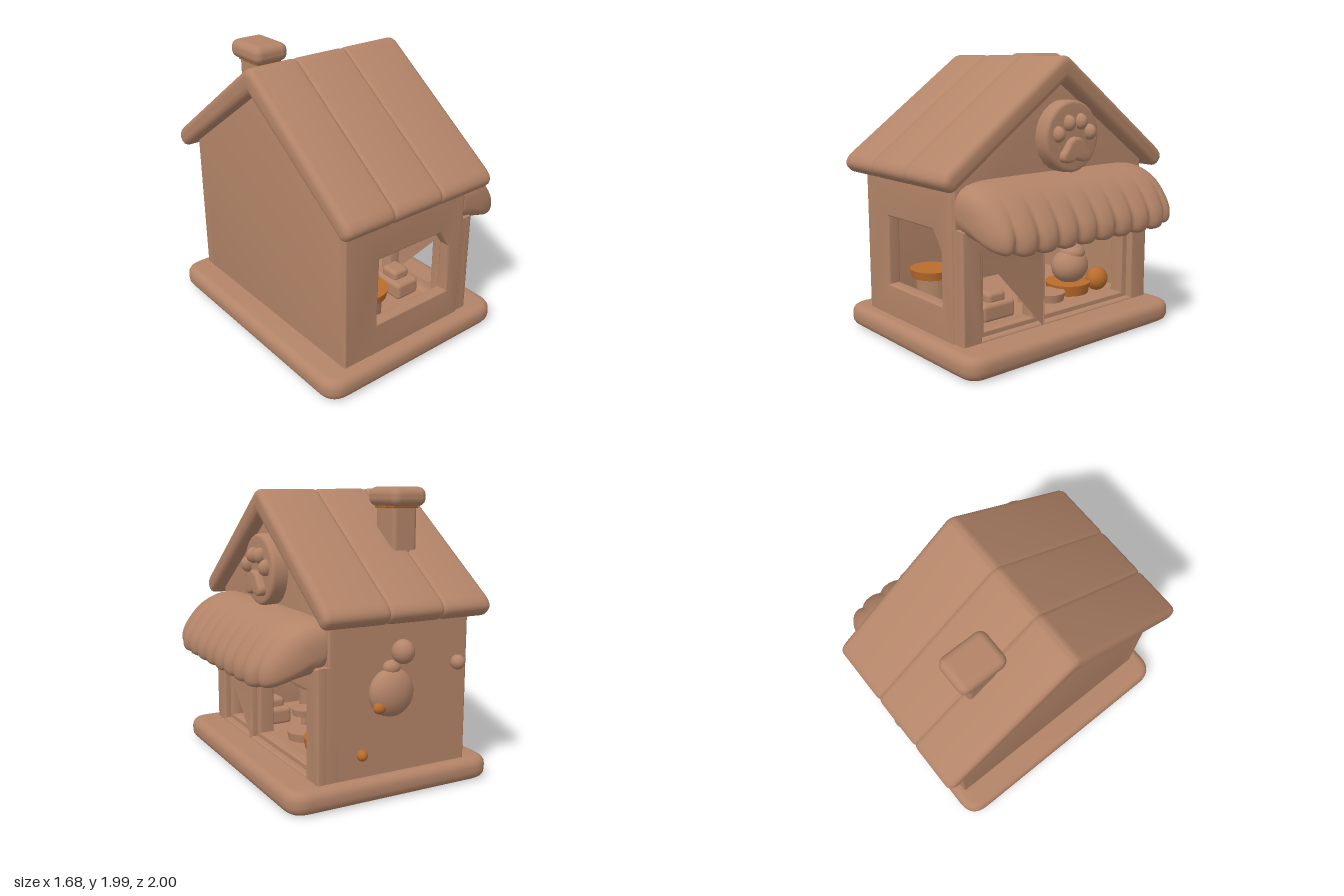
import * as THREE from 'three';
import { toCreasedNormals, mergeVertices } from 'three/addons/utils/BufferGeometryUtils.js';
import { RoundedBoxGeometry } from 'three/addons/geometries/RoundedBoxGeometry.js';

const clay = new THREE.MeshStandardMaterial({ color: 0xb38468 });
clay.name = 'clay brown';
const orange = new THREE.MeshStandardMaterial({ color: 0xb96c2c });
orange.name = 'burnt orange';

export function createModel() {
  const house = new THREE.Group();
  house.name = 'toyShop';

  const add = (name, geo, x = 0, y = 0, z = 0, mat = clay, parent = house) => {
    const m = new THREE.Mesh(geo, mat);
    m.name = name;
    m.position.set(x, y, z);
    parent.add(m);
    return m;
  };
  const box = (name, x0, x1, y0, y1, z0, z1, r = 0.03, mat = clay) =>
    add(name, new RoundedBoxGeometry(x1 - x0, y1 - y0, z1 - z0, 3, r),
      (x0 + x1) / 2, (y0 + y1) / 2, (z0 + z1) / 2, mat);
  const blob = (name, x, y, z, rx, ry, rz, mat = clay) => {
    const m = add(name, new THREE.SphereGeometry(1, 24, 16), x, y, z, mat);
    m.scale.set(rx, ry, rz);
    return m;
  };
  const disc = (name, x, y, z, r, h, mat = clay) =>
    add(name, new THREE.CylinderGeometry(r, r * 0.92, h, 32), x, y, z, mat);
  const poly = (pts) => new THREE.Shape(pts.map(([a, b]) => new THREE.Vector2(a, b)));
  const rect = (a0, a1, b0, b1) => poly([[a0, b0], [a1, b0], [a1, b1], [a0, b1]]);
  // Bevelled plate that keeps the outline and total depth exact
  const plate = (shape, depth, bevel) => toCreasedNormals(new THREE.ExtrudeGeometry(shape, {
    depth: depth - 2 * bevel, bevelEnabled: bevel > 0, bevelSize: bevel, bevelOffset: -bevel,
    bevelThickness: bevel, bevelSegments: 4, curveSegments: 12,
  }).translate(0, 0, bevel), 0.6);
  // Plate whose outline is given as (-z, y) and which runs along x
  const sidePlate = (name, shape, x0, x1, bevel) =>
    add(name, plate(shape, x1 - x0, bevel).rotateY(Math.PI / 2), x0);

  // Base slab with rounded corners
  const foot = new THREE.Shape();
  const [fx0, fx1, fz0, fz1, fr] = [-0.84, 0.7, -0.97, 0.94, 0.15];
  foot.moveTo(fx0 + fr, fz0).lineTo(fx1 - fr, fz0);
  foot.quadraticCurveTo(fx1, fz0, fx1, fz0 + fr).lineTo(fx1, fz1 - fr);
  foot.quadraticCurveTo(fx1, fz1, fx1 - fr, fz1).lineTo(fx0 + fr, fz1);
  foot.quadraticCurveTo(fx0, fz1, fx0, fz1 - fr).lineTo(fx0, fz0 + fr);
  foot.quadraticCurveTo(fx0, fz0, fx0 + fr, fz0);
  add('baseSlab', plate(foot, 0.155, 0.06).rotateX(-Math.PI / 2));
  box('floor', -0.6, 0.4, 0.12, 0.2, -0.82, 0.82, 0.02);

  // Front wall with a window whose top corner is cut
  const frontWall = rect(-0.65, 0.38, 0.13, 1.22);
  frontWall.holes.push(poly([[-0.38, 0.38], [-0.37, 0.87], [0.17, 0.87], [0.26, 0.74], [0.26, 0.38]]));
  add('frontWall', plate(frontWall, 0.09, 0.012), 0, 0, 0.78);
  box('backWall', -0.65, 0.38, 0.13, 1.22, -0.86, -0.77, 0.015);

  // Gable end walls
  sidePlate('plainGableWall', poly([[-0.86, 0.13], [0.86, 0.13], [0.86, 1.23], [0, 1.84], [-0.86, 1.23]]),
    -0.65, -0.56, 0.012);
  sidePlate('shopGable', poly([[-0.86, 0.78], [0.86, 0.78], [0.86, 1.23], [0, 1.84], [-0.86, 1.23]]),
    0.3, 0.4, 0.012);

  // Shop front: inner window layer and stepped outer frame
  const windows = [[-0.66, -0.24], [-0.13, 0.65]];
  const inner = rect(-0.86, 0.86, 0.13, 0.9);
  const outer = rect(-0.86, 0.86, 0.13, 0.9);
  for (const [a, b] of windows) {
    inner.holes.push(rect(a, b, 0.205, 0.7));
    outer.holes.push(rect(a - 0.05, b + 0.05, 0.17, 0.735));
  }
  sidePlate('shopWindowFrame', inner, 0.32, 0.43, 0.01);
  sidePlate('shopFrontFrame', outer, 0.4, 0.48, 0.015);

  // Roof: three rounded chevron boards side by side
  const chevron = new THREE.Shape();
  chevron.moveTo(0.05, 1.95).lineTo(0.96, 1.285);
  chevron.quadraticCurveTo(1.03, 1.22, 0.97, 1.17);
  chevron.quadraticCurveTo(0.93, 1.13, 0.88, 1.18);
  chevron.lineTo(0, 1.8).lineTo(-0.88, 1.18);
  chevron.quadraticCurveTo(-0.93, 1.13, -0.97, 1.17);
  chevron.quadraticCurveTo(-1.03, 1.22, -0.96, 1.285);
  chevron.lineTo(-0.05, 1.95);
  chevron.quadraticCurveTo(0, 1.985, 0.05, 1.95);
  [[-0.74, -0.345], [-0.375, 0.055], [0.025, 0.5]].forEach(([a, b]) =>
    sidePlate('roofBoard', chevron, a, b, 0.045));

  // Chimney
  box('chimneyShaft', -0.43, -0.24, 1.35, 1.88, -0.575, -0.345, 0.03);
  box('chimneyTrim', -0.435, -0.235, 1.845, 1.865, -0.58, -0.34, 0.008, orange);
  box('chimneyCap', -0.47, -0.2, 1.855, 1.985, -0.64, -0.29, 0.055);

  // Scalloped awning: one closed profile swept along z, bulging at every lobe
  const profile = new THREE.CatmullRomCurve3([
    [0.36, 1.18], [0.48, 1.19], [0.65, 1.12], [0.77, 1.0], [0.835, 0.88], [0.83, 0.79],
    [0.78, 0.765], [0.62, 0.8], [0.44, 0.84], [0.36, 0.9],
  ].map(([x, y]) => new THREE.Vector3(x, y, 0)), true).getPoints(40);
  const rings = 160, sides = 40, pos = [], idx = [];
  for (let i = 0; i <= rings; i++) {
    const u = Math.sin((i / rings - 0.5) * Math.PI);
    const lobe = Math.abs(Math.sin((u + 1) * 5 * Math.PI));
    const end = Math.pow(Math.max(0, 1 - Math.pow(Math.abs(u), 10)), 0.35);
    for (let j = 0; j < sides; j++) {
      const p = profile[j];
      const low = THREE.MathUtils.clamp((1.15 - p.y) / 0.35, 0, 1);
      const s = end * (1 - 0.11 * low * Math.pow(1 - lobe, 1.5));
      pos.push(0.42 + (p.x - 0.42) * s, 1.0 + (p.y - 1.0) * s, 0.01 + u * 0.85);
    }
  }
  for (let i = 0; i < rings; i++) for (let j = 0; j < sides; j++) {
    const a = i * sides + j, b = i * sides + (j + 1) % sides;
    idx.push(a, b, a + sides, b, b + sides, a + sides);
  }
  const awning = new THREE.BufferGeometry();
  awning.setAttribute('position', new THREE.Float32BufferAttribute(pos, 3));
  awning.setIndex(idx);
  const sweep = mergeVertices(awning);
  // Profile runs clockwise, so the winding is turned to face outward
  const order = sweep.index.array;
  for (let k = 0; k < order.length; k += 3) [order[k + 1], order[k + 2]] = [order[k + 2], order[k + 1]];
  sweep.computeVertexNormals();
  const out = sweep.attributes.normal, mid = Math.floor(rings / 2) * sides + 8;
  if (out.getX(mid) < 0) {
    for (let k = 0; k < order.length; k += 3) [order[k + 1], order[k + 2]] = [order[k + 2], order[k + 1]];
    sweep.computeVertexNormals();
  }
  add('awning', sweep);

  // Round paw sign on the gable
  const circle = new THREE.Shape().absarc(0.05, 1.43, 0.245, 0, Math.PI * 2);
  sidePlate('signDisc', circle, 0.36, 0.51, 0.025);
  const pad = new THREE.Shape();
  pad.moveTo(0.05, 1.43);
  pad.bezierCurveTo(0.12, 1.43, 0.13, 1.36, 0.17, 1.33);
  pad.bezierCurveTo(0.21, 1.26, 0.12, 1.24, 0.05, 1.28);
  pad.bezierCurveTo(-0.02, 1.24, -0.11, 1.26, -0.07, 1.33);
  pad.bezierCurveTo(-0.03, 1.36, -0.02, 1.43, 0.05, 1.43);
  sidePlate('pawPad', pad, 0.48, 0.56, 0.02);
  [[0.095, 1.455], [0, 1.525], [-0.11, 1.53], [-0.195, 1.455]].forEach(([z, y]) =>
    blob('pawToe', 0.515, y, z, 0.055, 0.055, 0.042));

  // Ornaments on the back wall
  blob('pouch', -0.04, 0.7, -0.88, 0.16, 0.16, 0.095);
  blob('pouchKnot', -0.04, 0.86, -0.88, 0.06, 0.05, 0.05);
  blob('pouchBall', -0.1, 0.965, -0.92, 0.075, 0.08, 0.075);
  blob('pouchSpot', 0.07, 0.62, -0.92, 0.045, 0.04, 0.035, orange);
  blob('wallKnob', -0.56, 0.84, -0.885, 0.05, 0.05, 0.05);
  blob('orangeKnob', 0.17, 0.31, -0.88, 0.036, 0.036, 0.036, orange);

  // Table by the front window
  disc('tableLeg', -0.25, 0.31, 0.58, 0.13, 0.24);
  const top = disc('tableTop', -0.25, 0.45, 0.6, 0.16, 0.06, orange);
  top.scale.z = 0.95;

  // Boxes and dishes behind the shop windows
  box('lowBox', 0.1, 0.3, 0.19, 0.32, 0.28, 0.56, 0.03);
  box('smallBox', 0.13, 0.27, 0.3, 0.385, 0.34, 0.49, 0.03);
  disc('standLeg', 0.1, 0.26, 0.06, 0.03, 0.14);
  disc('standTop', 0.1, 0.345, 0.06, 0.1, 0.05);
  disc('dish', 0.2, 0.235, -0.12, 0.12, 0.06);

  // Seated round animal in a bowl, with a cushion beside it
  disc('bowl', 0.14, 0.245, -0.37, 0.17, 0.08, orange);
  blob('animalBody', 0.14, 0.4, -0.39, 0.13, 0.13, 0.15);
  blob('animalHead', 0.14, 0.5, -0.41, 0.1, 0.07, 0.1);
  for (const s of [-1, 1]) blob('animalEar', 0.14, 0.555, -0.41 + s * 0.06, 0.03, 0.03, 0.03);
  blob('cushion', 0.24, 0.285, -0.58, 0.08, 0.09, 0.09, orange);

  return house;
}
